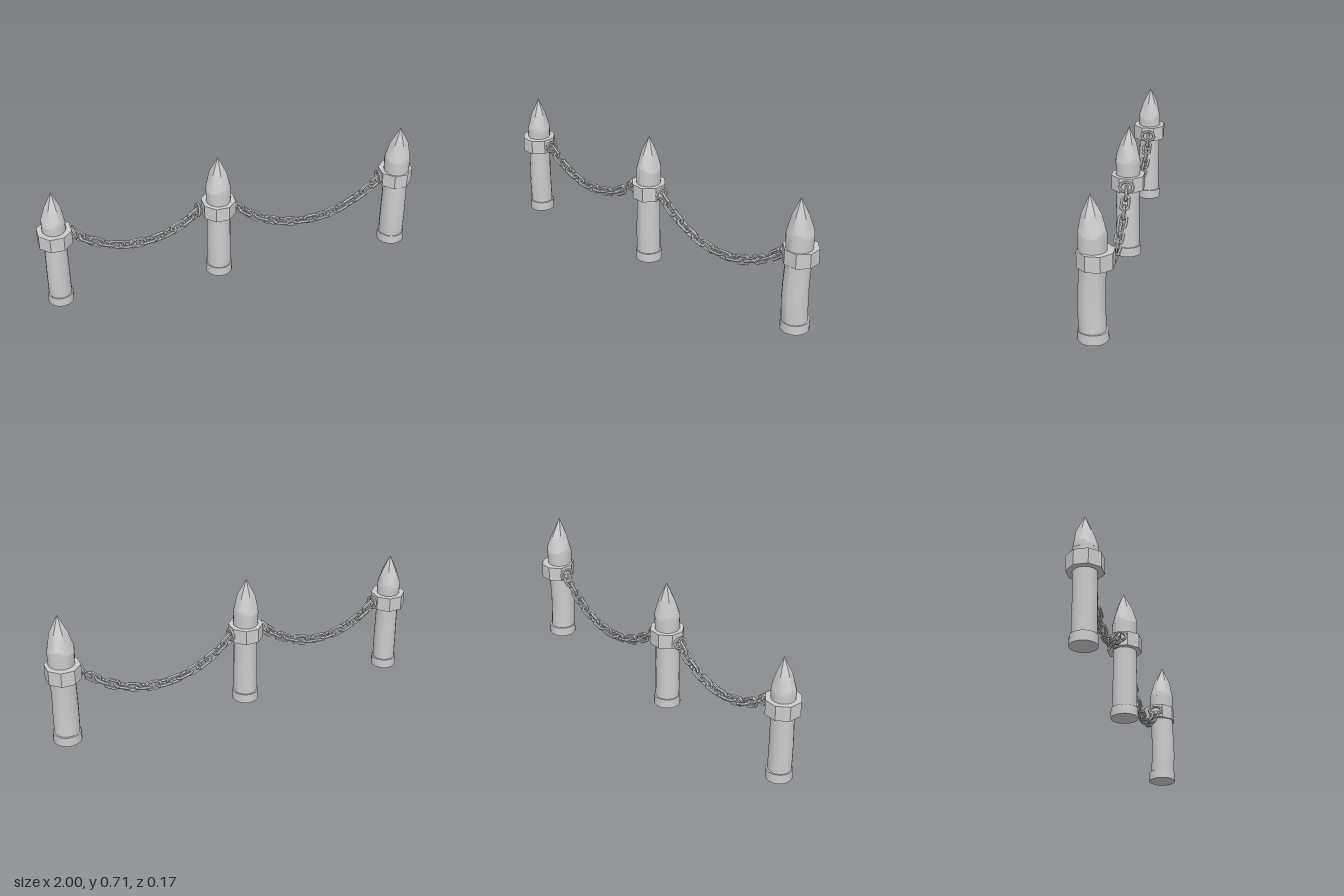
import * as THREE from 'three';
import { ConvexGeometry } from 'three/addons/geometries/ConvexGeometry.js';

const grey = new THREE.MeshStandardMaterial({ color: 0xcccccc });
const flat = new THREE.MeshStandardMaterial({ color: 0xcccccc, flatShading: true });

function add(parent, name, geometry, material, x = 0, y = 0, z = 0) {
  const mesh = new THREE.Mesh(geometry, material);
  mesh.name = name;
  mesh.position.set(x, y, z);
  parent.add(mesh);
  return mesh;
}

// Post: foot ring, slightly bent shaft, octagonal collar, hewn point
function makePost({ name, x, z, r, shoulder, tip, tipX, tipZ, twist, bend }) {
  const post = new THREE.Group();
  post.name = name;
  post.position.set(x, 0, z);

  add(post, 'footRing', new THREE.CylinderGeometry(r + 0.005, r + 0.006, 0.05, 20), grey, 0, 0.027, 0);

  const profile = [[0.97, 0.003], [0.98, 0.08], [0.98, 0.16], [0.96, 0.25], [0.95, 0.34], [0.98, 0.42], [1.02, shoulder]]
    .map(([k, y]) => new THREE.Vector2(r * k, y));
  const shaft = new THREE.LatheGeometry(profile, 18);
  const pos = shaft.attributes.position;
  for (let i = 0; i < pos.count; i++) {
    const s = Math.sin((pos.getY(i) / 0.37) * Math.PI) * (pos.getY(i) < 0.37 ? 1 : 0);
    pos.setX(i, pos.getX(i) - bend * 0.4 * s);
    pos.setZ(i, pos.getZ(i) + bend * s);
  }
  shaft.computeVertexNormals();
  add(post, 'shaft', shaft, grey);

  const collar = new THREE.CylinderGeometry(0.09, 0.09, 0.078, 8);
  collar.rotateY(Math.PI / 8);
  add(post, 'collar', collar, flat, 0, 0.408, -0.004 - z);

  // Point: round shoulder hewn to a few uneven facets
  const points = [new THREE.Vector3(tipX, tip, tipZ)];
  for (let i = 0; i < 18; i++) {
    const a = (i / 18) * Math.PI * 2;
    const y = shoulder + 0.01 + 0.012 * Math.sin(3 * a + twist);
    points.push(new THREE.Vector3(r * 1.02 * Math.sin(a), shoulder - 0.01, r * 1.02 * Math.cos(a)));
    points.push(new THREE.Vector3(r * Math.sin(a), y, r * Math.cos(a)));
  }
  for (let i = 0; i < 6; i++) {
    const a = (i / 6) * Math.PI * 2 + twist;
    const k = r * (0.66 + 0.05 * Math.sin(i * 2.3 + twist));
    points.push(new THREE.Vector3(tipX * 0.5 + k * Math.sin(a), shoulder + (tip - shoulder) * 0.52, tipZ * 0.5 + k * Math.cos(a)));
  }
  add(post, 'point', new ConvexGeometry(points), flat);
  return post;
}

// Chain link: octagonal ring stretched along x
function makeLink() {
  const link = new THREE.TorusGeometry(0.021, 0.0085, 6, 8);
  link.rotateZ(Math.PI / 8);
  const pos = link.attributes.position;
  for (let i = 0; i < pos.count; i++) pos.setX(i, pos.getX(i) + Math.sign(pos.getX(i)) * 0.02);
  return link;
}

// Chain: links follow a sagging curve, every second one turned a quarter
function makeChain(name, x0, x1, yEnd, yLow, count) {
  const chain = new THREE.Group();
  chain.name = name;
  const mid = (x0 + x1) / 2, half = (x1 - x0) / 2;
  const curve = new THREE.CatmullRomCurve3(Array.from({ length: 13 }, (_, i) => {
    const t = i / 6 - 1;
    return new THREE.Vector3(mid + half * t, yLow + (yEnd - yLow) * Math.pow(Math.abs(t), 2.1), -0.01);
  }));
  const geometry = makeLink();
  for (let i = 0; i < count; i++) {
    const u = (i + 0.5) / count;
    const d = curve.getTangentAt(u);
    const link = add(chain, 'link', geometry, flat);
    link.position.copy(curve.getPointAt(u));
    link.rotation.order = 'ZXY';
    link.rotation.z = Math.atan2(d.y, d.x);
    link.rotation.x = (i % 2 ? Math.PI / 2 : 0) + 0.15 * Math.sin(i * 1.7);
  }
  return chain;
}

export function createModel() {
  const model = new THREE.Group();
  model.name = 'chainFence';

  model.add(
    makePost({ name: 'rightPost', x: -0.918, z: -0.005, r: 0.06, shoulder: 0.49, tip: 0.667, tipX: 0.004, tipZ: -0.005, twist: 0.4, bend: 0.003 }),
    makePost({ name: 'middlePost', x: -0.069, z: -0.003, r: 0.064, shoulder: 0.52, tip: 0.705, tipX: 0, tipZ: -0.006, twist: 1.1, bend: 0.002 }),
    makePost({ name: 'leftPost', x: 0.912, z: 0.01, r: 0.067, shoulder: 0.52, tip: 0.711, tipX: 0, tipZ: 0.009, twist: 0.1, bend: 0.008 }),
  );

  // Chain rings on the collars, standing across the chain
  const ring = new THREE.TorusGeometry(0.032, 0.008, 6, 10);
  ring.rotateY(Math.PI / 2);
  ring.scale(1, 0.85, 1.1);
  for (const [x, tilt] of [[-0.818, 0.25], [-0.178, -0.25], [0.018, 0.1], [0.82, -0.1]]) {
    add(model, 'chainRing', ring, flat, x, 0.404, -0.008).rotation.z = tilt;
  }

  model.add(
    makeChain('rightChain', -0.825, -0.17, 0.4, 0.263, 13),
    makeChain('leftChain', 0.012, 0.828, 0.395, 0.21, 16),
  );
  return model;
}
